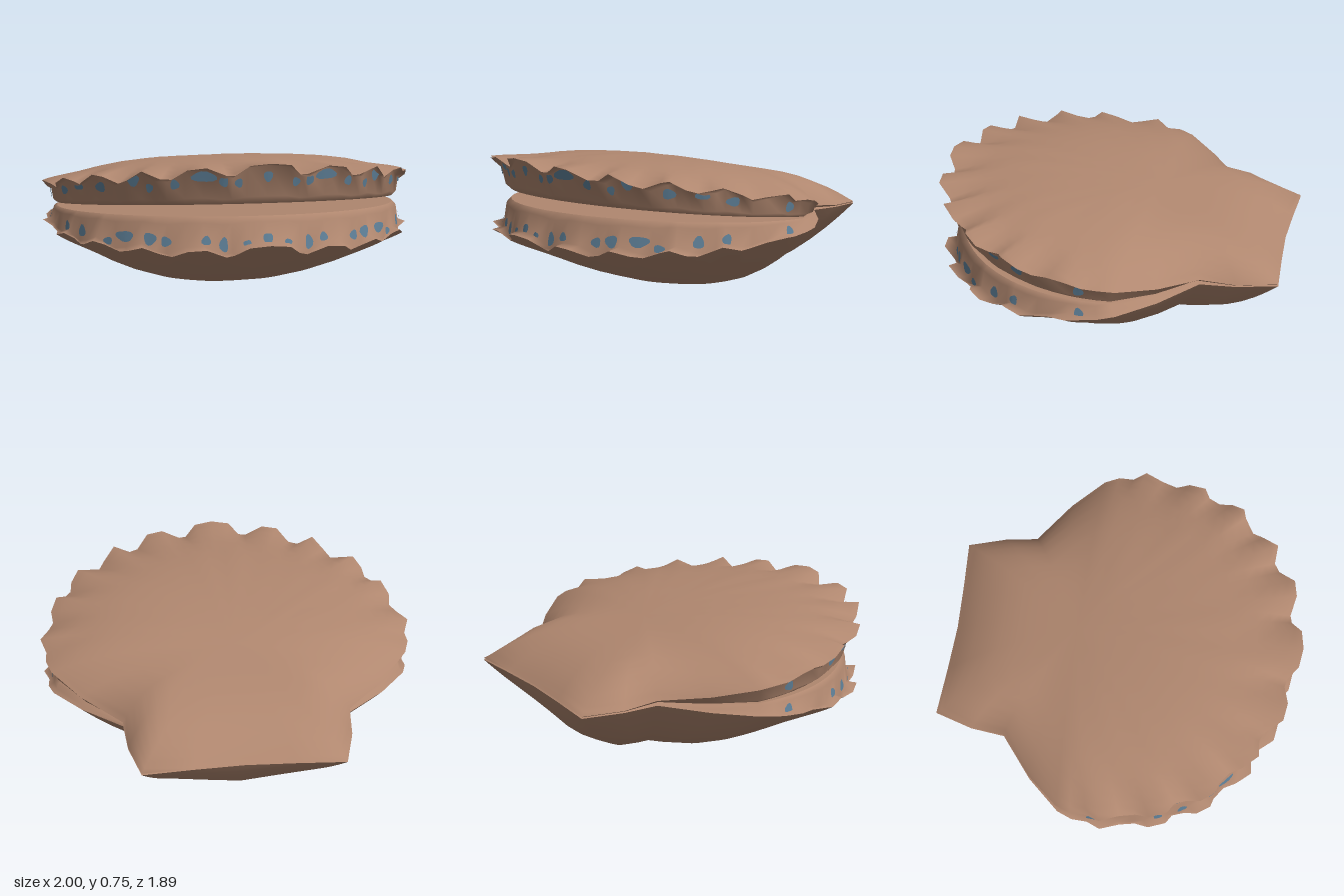
import * as THREE from 'three';

// Half outline of the scallop, front centre to back centre: x, z, lid rim y, bowl rim y
const HALF = [
  [0, 0.94, 0.75, 0.36], [0.1, 0.925, 0.74, 0.35], [0.16, 0.875, 0.69, 0.31], [0.2, 0.865, 0.69, 0.30],
  [0.3, 0.885, 0.73, 0.34], [0.39, 0.87, 0.72, 0.335], [0.45, 0.79, 0.67, 0.30], [0.5, 0.76, 0.67, 0.31],
  [0.59, 0.765, 0.71, 0.345], [0.65, 0.69, 0.66, 0.32], [0.68, 0.63, 0.64, 0.31], [0.75, 0.58, 0.67, 0.34],
  [0.8, 0.565, 0.68, 0.355], [0.84, 0.5, 0.64, 0.33], [0.845, 0.43, 0.62, 0.32], [0.87, 0.37, 0.63, 0.34],
  [0.92, 0.34, 0.645, 0.365], [0.95, 0.25, 0.61, 0.345], [0.94, 0.18, 0.58, 0.35], [0.96, 0.1, 0.59, 0.37],
  [1.0, 0.0, 0.6, 0.39], [0.97, -0.07, 0.56, 0.385], [0.97, -0.15, 0.56, 0.4], [0.94, -0.23, 0.545, 0.41],
  [0.79, -0.4, 0.5, 0.42], [0.58, -0.57, 0.455, 0.43], [0.56, -0.75, 0.44, 0.43], [0.5, -0.95, 0.44, 0.43],
  [0.25, -0.935, 0.44, 0.43], [0, -0.925, 0.44, 0.43],
];
const CENTRE_Z = -0.25;
const RIDGE = [[-0.95, 0.49], [-0.9, 0.52], [-0.62, 0.61], [-0.07, 0.71], [0.3, 0.75], [0.6, 0.765], [0.95, 0.76]];
const lerp = THREE.MathUtils.lerp;
const smooth = THREE.MathUtils.smoothstep;

function ridge(z) {
  for (let i = 1; i < RIDGE.length; i++) {
    const [z0, y0] = RIDGE[i - 1], [z1, y1] = RIDGE[i];
    if (z <= z1) return lerp(y0, y1, Math.max(0, (z - z0) / (z1 - z0)));
  }
  return RIDGE[RIDGE.length - 1][1];
}

const mirrorPoint = ([x, ...rest]) => [-x, ...rest];
const mirrorLoop = (half) => [...half, ...half.slice(1, -1).reverse().map(mirrorPoint)];

// Outline with the ruffles averaged away, for the inner part of the shells
const SOFT = HALF.map((p, i) => {
  const w = Math.min(3, Math.max(0, 22 - i));
  const sum = [0, 0, 0, 0];
  for (let k = -w; k <= w; k++) {
    const q = i + k < 0 ? mirrorPoint(HALF[-i - k]) : HALF[i + k];
    q.forEach((v, c) => { sum[c] += v / (2 * w + 1); });
  }
  return sum;
});

// Joins closed rings of points into one smooth surface
function loft(rings, flip) {
  const n = rings[0].length, index = [];
  for (let r = 0; r < rings.length - 1; r++) {
    for (let i = 0; i < n; i++) {
      const a = r * n + i, a2 = r * n + (i + 1) % n, b = a + n, b2 = a2 + n;
      if (flip) index.push(a, b2, b, a, a2, b2);
      else index.push(a, b, b2, a, b2, a2);
    }
  }
  const g = new THREE.BufferGeometry();
  g.setAttribute('position', new THREE.Float32BufferAttribute(rings.flat(2), 3));
  g.setIndex(index);
  g.computeVertexNormals();
  return g;
}

// Outer shell: rings grow from the centre to the ruffled rim
function shellGeometry(isLid) {
  const rings = [0.001, 0.15, 0.3, 0.45, 0.6, 0.72, 0.82, 0.89, 0.94, 0.97, 1].map((t) => {
    const w = smooth(t, 0.75, 1);
    return mirrorLoop(HALF.map((h, i) => {
      const [ox, oz, lidY, bowlY] = h.map((v, c) => lerp(SOFT[i][c], v, w));
      const x = ox * t, z = lerp(CENTRE_Z, oz, t);
      if (isLid) {
        const power = 3 + 5 * smooth(-oz, 0.35, 0.7);
        return [x, lerp(ridge(z), lidY, t ** power), z];
      }
      const power = 2 + (oz < -0.9 ? 1 - ox / 0.5 : 0);
      return [x, bowlY * t ** power, z];
    }));
  });
  return loft(rings, !isLid);
}

// Mantle wall: half rings from the rim to the edge of the inner floor
function mantleRings(isLid) {
  const floorY = (z) => (isLid ? 0.48 + 0.085 * z : 0.462 + 0.034 * z);
  const inset = (x, z, rx, rz, s) => {
    if (z < -0.24) return [x * s, z * s];
    const a = Math.atan2(x, z);
    return [rx * Math.sin(a), rz * Math.cos(a)];
  };
  const rings = [[], [], [], []];
  for (const [x, z, lidY, bowlY] of HALF) {
    const rim = isLid ? lidY : bowlY;
    const [x0, z0] = inset(x, z, 0.95, 0.88, 0.98);
    const [x1, z1] = inset(x, z, 0.94, 0.855, 0.965);
    const [x2, z2] = inset(x, z, 0.92, 0.825, 0.94);
    const top = rim + (isLid ? -0.012 : 0.012);
    rings[0].push([x, rim, z]);
    rings[1].push([x0, top, z0]);
    rings[2].push([x1, lerp(top, floorY(z2), 0.8), z1]);
    rings[3].push([x2, floorY(z2), z2]);
  }
  return rings;
}

// Eye spot: a thin blob that hugs the mantle wall at a given angle and height
function eyeGeometry(rings, angle, y, halfW, halfH) {
  const [, top, low] = rings;
  const surface = (phi, py) => {
    const side = phi < 0 ? -1 : 1, p = Math.abs(phi);
    let k = 0;
    while (k < 23 && Math.atan2(HALF[k + 1][0], HALF[k + 1][1]) < p) k++;
    const a0 = Math.atan2(HALF[k][0], HALF[k][1]), a1 = Math.atan2(HALF[k + 1][0], HALF[k + 1][1]);
    const f = (p - a0) / (a1 - a0);
    const a = top[k].map((v, c) => lerp(v, top[k + 1][c], f));
    const b = low[k].map((v, c) => lerp(v, low[k + 1][c], f));
    const v = THREE.MathUtils.clamp((py - a[1]) / (b[1] - a[1]), 0, 1);
    const q = a.map((c, i) => lerp(c, b[i], v));
    return [side * (q[0] + 0.007 * Math.sin(p)), q[1], q[2] + 0.007 * Math.cos(p)];
  };
  const n = 14, pos = [surface(angle, y)], index = [];
  for (const r of [0.5, 1]) {
    for (let i = 0; i < n; i++) {
      const t = (i / n) * Math.PI * 2;
      const wobble = r * (1 + 0.12 * Math.sin(3 * t + angle * 9));
      pos.push(surface(angle + Math.cos(t) * halfW * wobble, y + Math.sin(t) * halfH * wobble));
    }
  }
  for (let i = 0; i < n; i++) {
    const a = 1 + i, a2 = 1 + (i + 1) % n;
    index.push(0, a, a2, a, a + n, a2 + n, a, a2 + n, a2);
  }
  const g = new THREE.BufferGeometry();
  g.setAttribute('position', new THREE.Float32BufferAttribute(pos.flat(), 3));
  g.setIndex(index);
  g.computeVertexNormals();
  return g;
}

// Spots on one side: x position, y, half width, half height
const LID_EYES = [
  [0, 0.685, 0.024, 0.026], [0.14, 0.655, 0.02, 0.022], [0.21, 0.665, 0.022, 0.03], [0.3, 0.685, 0.065, 0.026],
  [0.43, 0.645, 0.024, 0.024], [0.54, 0.625, 0.02, 0.022], [0.61, 0.66, 0.035, 0.03], [0.75, 0.615, 0.035, 0.025],
  [0.84, 0.61, 0.04, 0.022], [0.9, 0.575, 0.04, 0.022], [0.935, 0.53, 0.03, 0.025],
];
const BOWL_EYES = [
  [0, 0.385, 0.025, 0.03], [0.1, 0.365, 0.02, 0.018], [0.21, 0.36, 0.022, 0.035], [0.29, 0.38, 0.024, 0.022],
  [0.47, 0.37, 0.028, 0.024], [0.54, 0.38, 0.035, 0.03], [0.65, 0.385, 0.055, 0.026], [0.72, 0.355, 0.03, 0.018],
  [0.83, 0.385, 0.03, 0.03], [0.89, 0.395, 0.026, 0.026], [0.935, 0.41, 0.026, 0.026],
];

export function createModel() {
  const shellTan = new THREE.MeshStandardMaterial({ color: 0xb0876f });
  shellTan.name = 'shellTan';
  const eyeBlue = new THREE.MeshStandardMaterial({ color: 0x5f8199 });
  eyeBlue.name = 'eyeBlue';

  const model = new THREE.Group();
  model.name = 'scallop';
  const add = (parent, name, geometry, material) => {
    const mesh = new THREE.Mesh(geometry, material);
    mesh.name = name;
    parent.add(mesh);
  };

  for (const [name, isLid, eyes] of [['upperShell', true, LID_EYES], ['lowerShell', false, BOWL_EYES]]) {
    const half = new THREE.Group();
    half.name = name;
    model.add(half);
    add(half, name + 'Outside', shellGeometry(isLid), shellTan);

    // Fleshy wall and the floor it encloses
    const rings = mantleRings(isLid);
    add(half, name + 'Mantle', loft(rings.map(mirrorLoop), !isLid), shellTan);
    const edge = mirrorLoop(rings[3]);
    const centre = edge.map(() => [0, isLid ? 0.46 : 0.453, CENTRE_Z]);
    add(half, name + 'Floor', loft([edge, centre], !isLid), shellTan);

    // Row of eye spots, mirrored left and right
    for (const [x, y, w, h] of eyes) {
      const angle = x > 0.93 ? 1.63 : Math.asin(x / 0.945);
      for (const side of x === 0 ? [1] : [1, -1]) {
        add(half, name + 'Eye', eyeGeometry(rings, side * angle, y, w, h), eyeBlue);
      }
    }
  }
  return model;
}
